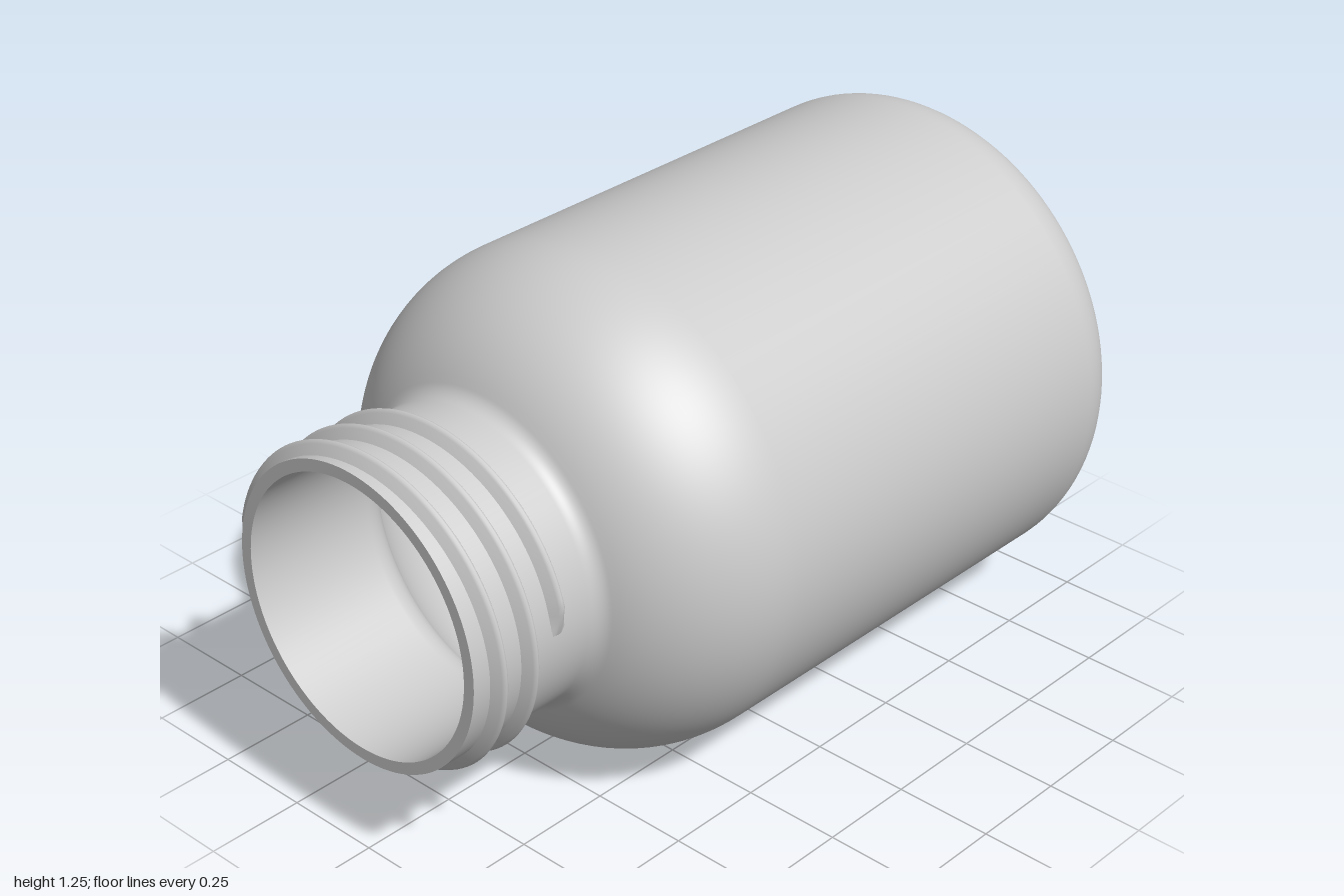
import * as THREE from 'three';

const AXIS_Y = 0.625;      // height of the bottle axis
const NECK_R = 0.375;      // outer neck radius
const WALL = 0.03;
const SEGMENTS = 128;

// Points along an arc in (radius, z), angles in degrees from the radial direction
function arc(r, z, radius, from, to, steps) {
  return Array.from({ length: steps + 1 }, (_, i) => {
    const a = THREE.MathUtils.degToRad(from + ((to - from) * i) / steps);
    return new THREE.Vector2(r + radius * Math.cos(a), z + radius * Math.sin(a));
  });
}

// Half section from base to mouth, offset inwards by t
function section(t) {
  const tangent = THREE.MathUtils.radToDeg(Math.atan2(0.403, 0.2));
  return [
    new THREE.Vector2(0, -1 + t),
    ...arc(0.475, -0.85, 0.15 - t, -90, 0, 16),
    ...arc(0.225, 0.25, 0.4 - t, 0, tangent, 24),
    ...arc(0.425, 0.653, 0.05 + t, 180 + tangent, 180, 10).slice(1),
    new THREE.Vector2(NECK_R - t, 1),
  ];
}

// Lathe whose axis lies along z
function turned(name, points, material) {
  const mesh = new THREE.Mesh(new THREE.LatheGeometry(points, SEGMENTS).rotateX(Math.PI / 2), material);
  mesh.name = name;
  return mesh;
}

// Screw thread: a ridge section swept along a helix, fading out at both ends
function threadGeometry() {
  const turns = 2.5, pitch = 0.0925, startZ = 0.746, steps = 300;
  const fade = THREE.MathUtils.degToRad(12);
  // [offset along z, height above the neck]
  const ridge = [[-0.022, 0], [-0.009, 0.022], [-0.005, 0.027], [0, 0.029], [0.005, 0.027], [0.009, 0.022], [0.022, 0]];
  const n = ridge.length, end = turns * Math.PI * 2;
  const positions = [], index = [];
  for (let i = 0; i <= steps; i++) {
    const a = (end * i) / steps;
    const height = Math.min(1, a / fade, (end - a) / fade);
    for (const [dz, dr] of ridge) {
      const r = NECK_R - 0.002 + (dr + 0.002) * height;
      positions.push(r * Math.cos(a), r * Math.sin(a), startZ + (pitch * a) / (Math.PI * 2) + dz);
    }
    if (i === steps) break;
    for (let j = 0; j < n - 1; j++) {
      const p = i * n + j, q = p + n;
      index.push(p, q, p + 1, q, q + 1, p + 1);
    }
  }
  const geometry = new THREE.BufferGeometry();
  geometry.setAttribute('position', new THREE.Float32BufferAttribute(positions, 3));
  geometry.setIndex(index);
  geometry.computeVertexNormals();
  return geometry;
}

export function createModel() {
  const grey = new THREE.MeshStandardMaterial({ color: 0xcccccc });
  grey.name = 'light grey';

  const bottle = new THREE.Group();
  bottle.name = 'bottle';

  // Outer skin, inner skin and the flat rim joining them
  bottle.add(turned('outerShell', section(0), grey));
  bottle.add(turned('innerShell', section(WALL).reverse(), grey));
  bottle.add(turned('rim', [new THREE.Vector2(NECK_R, 1), new THREE.Vector2(NECK_R - WALL, 1)], grey));

  const thread = new THREE.Mesh(threadGeometry(), grey);
  thread.name = 'neckThread';
  bottle.add(thread);

  bottle.position.y = AXIS_Y;
  const model = new THREE.Group();
  model.add(bottle);
  return model;
}
